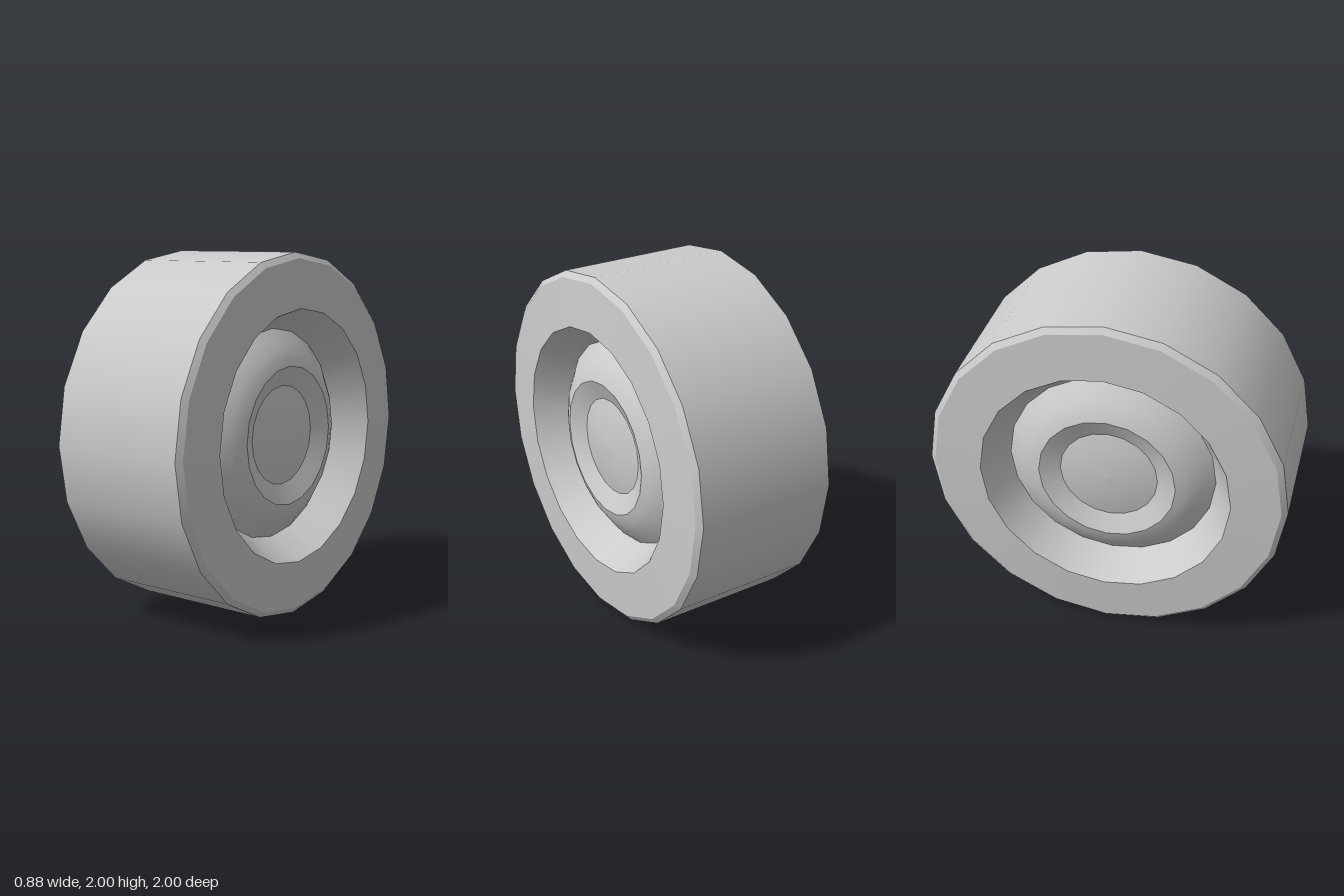
import * as THREE from 'three';

const SEGMENTS = 20;
const material = new THREE.MeshStandardMaterial({ color: 0xcccccc });

// Revolves a profile of [radius, x] points about the x axis
function ring(name, profile) {
  const points = profile.map(([r, x]) => new THREE.Vector2(r, x));
  const geometry = new THREE.LatheGeometry(points, SEGMENTS);
  geometry.rotateZ(-Math.PI / 2);
  const mesh = new THREE.Mesh(geometry, material);
  mesh.name = name;
  return mesh;
}

// One side of the wheel; separate sections keep the edges between them sharp
function wheelSide(name) {
  const side = new THREE.Group();
  side.name = name;
  side.add(
    ring('shoulder', [[1, 0.4], [0.968, 0.425]]),
    ring('sidewall', [[0.968, 0.425], [0.7, 0.44]]),
    ring('rimWall', [[0.7, 0.44], [0.585, 0.25]]),
    ring('hubDome', [[0.585, 0.25], [0.535, 0.29], [0.48, 0.33], [0.43, 0.355], [0.385, 0.37]]),
    ring('hubBevel', [[0.385, 0.37], [0.275, 0.32]]),
    ring('hubCap', [[0.275, 0.32], [0.19, 0.338], [0.1, 0.348], [0, 0.352]])
  );
  return side;
}

export function createModel() {
  const model = new THREE.Group();
  model.name = 'wheel';
  model.add(ring('tread', [[1, -0.4], [1, 0.4]]));

  const left = wheelSide('leftSide');
  const right = wheelSide('rightSide');
  right.rotation.y = Math.PI;
  model.add(left, right);

  model.position.y = 1;
  const root = new THREE.Group();
  root.add(model);
  return root;
}
